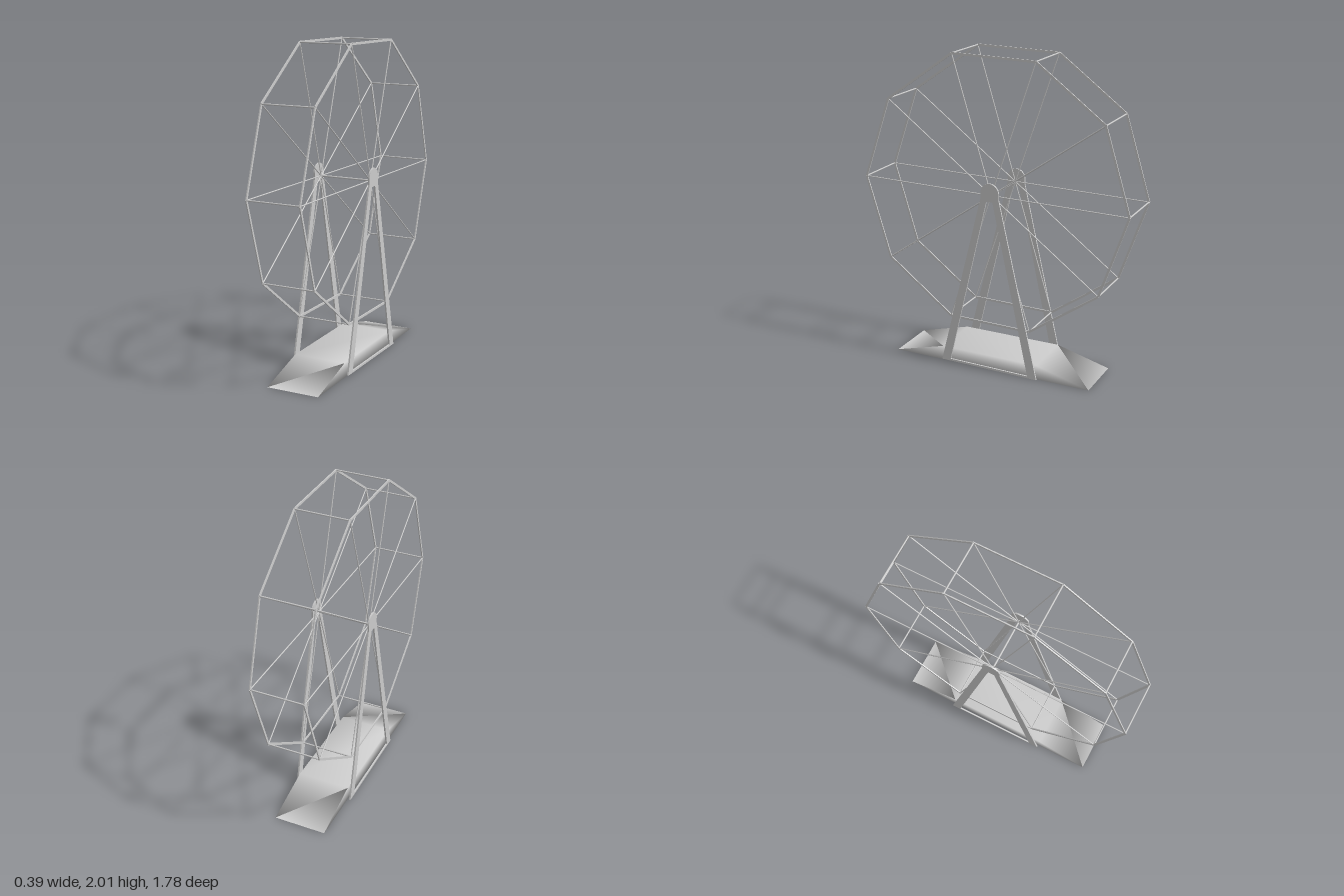
import * as THREE from 'three';
import { mergeVertices } from 'three/addons/utils/BufferGeometryUtils.js';

const mat = new THREE.MeshStandardMaterial({ color: 0xcccccc });
const UP = new THREE.Vector3(0, 1, 0);
const SIDES = 10, RADIUS = 0.883, AXLE_Y = 1.155, HALF = 0.17;

function addMesh(parent, name, geometry) {
  const mesh = new THREE.Mesh(geometry, mat);
  mesh.name = name;
  parent.add(mesh);
  return mesh;
}

// Straight bar between two points; a box when a depth is given, else a rod.
function bar(parent, name, a, b, width, depth) {
  const dir = b.clone().sub(a), len = dir.length();
  const geo = depth
    ? new THREE.BoxGeometry(depth, len, width)
    : new THREE.CylinderGeometry(width / 2, width / 2, len, 8);
  const mesh = addMesh(parent, name, geo);
  mesh.position.copy(a).add(b).multiplyScalar(0.5);
  mesh.quaternion.setFromUnitVectors(UP, dir.normalize());
}

// Extrudes a (z, y) profile along x, centred on x = 0.
function sideExtrude(shape, width) {
  const geo = new THREE.ExtrudeGeometry(shape, { depth: width, bevelEnabled: false, curveSegments: 16 });
  return geo.translate(0, 0, -width / 2).rotateY(-Math.PI / 2);
}

const polygon = (pts) => pts.map(([z, y]) => new THREE.Vector2(z, y));

function rimPoint(i, x) {
  const a = THREE.MathUtils.degToRad(1 + (360 / SIDES) * i);
  return new THREE.Vector3(x, AXLE_Y + RADIUS * Math.sin(a), RADIUS * Math.cos(a));
}

function createWheel() {
  const wheel = new THREE.Group();
  wheel.name = 'wheel';
  for (let i = 0; i < SIDES; i++) {
    for (const x of [-HALF, HALF]) {
      bar(wheel, 'rimSegment', rimPoint(i, x), rimPoint(i + 1, x), 0.014, 0.007);
      bar(wheel, 'spoke', new THREE.Vector3(x, AXLE_Y, 0), rimPoint(i, x), 0.008);
    }
    bar(wheel, 'crossBar', rimPoint(i, -HALF), rimPoint(i, HALF), 0.01);
  }
  bar(wheel, 'axle', new THREE.Vector3(-0.19, AXLE_Y, 0), new THREE.Vector3(0.19, AXLE_Y, 0), 0.012);
  return wheel;
}

// A-shaped support plate with a rounded head and a thin foot bar.
function createSupport(x) {
  const shape = new THREE.Shape();
  shape.moveTo(-0.318, 0.004);
  shape.lineTo(0.345, 0.014);
  shape.lineTo(0.06, 1.14);
  shape.absarc(0, 1.175, 0.06, -0.1, Math.PI + 0.1, false);
  shape.lineTo(-0.06, 1.14);
  shape.closePath();
  shape.holes.push(new THREE.Path(polygon([[0.284, 0.026], [0.022, 1.12], [-0.02, 1.12], [-0.258, 0.018]])));
  const mesh = new THREE.Mesh(sideExtrude(shape, 0.01), mat);
  mesh.name = 'support';
  mesh.position.x = x;
  return mesh;
}

export function createModel() {
  const model = new THREE.Group();
  model.name = 'ferrisWheel';
  model.add(createWheel());
  for (const x of [-0.188, 0.188]) model.add(createSupport(x));

  // Boarding ramp: low trapezoid, shaded smoothly over its edges
  const profile = new THREE.Shape(polygon([[-0.66, 0], [0.69, 0], [0.35, 0.093], [-0.31, 0.093]]));
  let ramp = sideExtrude(profile, 0.34);
  ramp.deleteAttribute('normal');
  ramp.deleteAttribute('uv');
  ramp = mergeVertices(ramp);
  ramp.computeVertexNormals();
  addMesh(model, 'ramp', ramp);
  return model;
}
